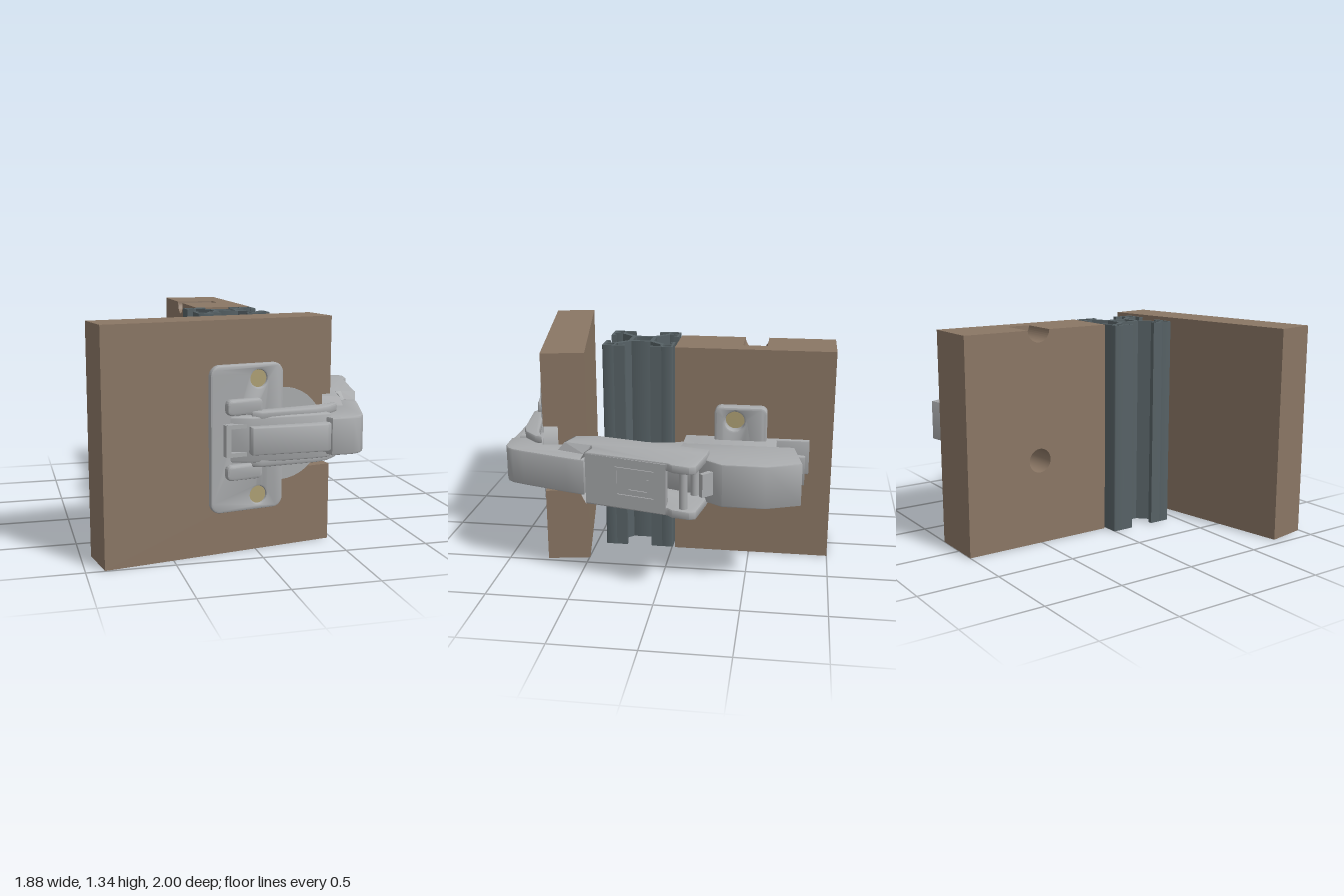
import * as THREE from 'three';
import { toCreasedNormals } from 'three/addons/utils/BufferGeometryUtils.js';

const H = 1.335, MID = 0.67;

export function createModel() {
  const root = new THREE.Group();
  root.name = 'hingeAssembly';
  const mat = (name, color, side = THREE.FrontSide) => {
    const m = new THREE.MeshStandardMaterial({ color, side });
    m.name = name;
    return m;
  };
  const wood = mat('wood', 0x8a7664);
  const metal = mat('metal', 0xa9abad, THREE.DoubleSide);
  const steel = mat('darkSteel', 0x566165);
  const brass = mat('tan', 0xad9f74);

  const add = (parent, name, geo, m) => {
    const mesh = new THREE.Mesh(geo, m);
    mesh.name = name;
    parent.add(mesh);
    return mesh;
  };
  const polygon = (pts) => new THREE.Shape(pts.map(([x, y]) => new THREE.Vector2(x, y)));
  const extrude = (shape, depth, b = 0) => {
    const g = new THREE.ExtrudeGeometry(shape, {
      depth: depth - 2 * b, bevelEnabled: b > 0, bevelSize: b, bevelThickness: b,
      bevelOffset: -b, bevelSegments: 2, curveSegments: 20,
    });
    return toCreasedNormals(g.translate(0, 0, b), 0.6);
  };
  // Upright prism from a plan outline of [x, z] points
  const prism = (name, m, pts, y0, y1, b = 0, parent = root) => {
    const g = extrude(polygon(pts.map(([x, z]) => [x, -z])), y1 - y0, b);
    return add(parent, name, g.rotateX(-Math.PI / 2).translate(0, y0, 0), m);
  };
  const box = (parent, name, m, x0, x1, y0, y1, z0, z1) => add(parent, name,
    new THREE.BoxGeometry(x1 - x0, y1 - y0, z1 - z0)
      .translate((x0 + x1) / 2, (y0 + y1) / 2, (z0 + z1) / 2), m);
  const roundRect = (x0, x1, y0, y1, r) => {
    const s = new THREE.Shape();
    s.absarc(x1 - r, y1 - r, r, 0, Math.PI / 2);
    s.absarc(x0 + r, y1 - r, r, Math.PI / 2, Math.PI);
    s.absarc(x0 + r, y0 + r, r, Math.PI, Math.PI * 1.5);
    s.absarc(x1 - r, y0 + r, r, Math.PI * 1.5, Math.PI * 2);
    return s;
  };
  const hole = (s, x, y, r) => s.holes.push(new THREE.Path().absarc(x, y, r, 0, Math.PI * 2, true));
  const disc = (parent, name, m, x, y, z0, z1, r) => add(parent, name,
    new THREE.CylinderGeometry(r, r, z1 - z0, 40).rotateX(Math.PI / 2).translate(x, y, (z0 + z1) / 2), m);

  // Side panel: drilled layer and solid layer, local x = -z, local z = x
  const side = new THREE.Group();
  side.name = 'sidePanel';
  side.rotation.y = Math.PI / 2;
  root.add(side);
  const drilled = new THREE.Shape();
  drilled.moveTo(0.02, 0).lineTo(1, 0).lineTo(1, H).lineTo(0.58, H);
  drilled.absarc(0.505, H, 0.075, 0, -Math.PI, true);
  drilled.lineTo(0.02, H);
  hole(drilled, 0.505, 0.53, 0.075);
  add(side, 'drilledLayer', extrude(drilled, 0.24).translate(0, 0, -0.15), wood);
  box(side, 'solidLayer', wood, 0.02, 1, 0, H, 0.09, 0.205);

  // Mounting plate with two screw holes and an adjusting screw
  const plate = roundRect(0.275, 0.597, 0.345, 0.99, 0.04);
  [0.43, 0.9].forEach((y) => {
    hole(plate, 0.4, y, 0.06);
    disc(side, 'plateScrew', brass, 0.4, y, 0.2, 0.225, 0.06);
  });
  add(side, 'mountingPlate', extrude(plate, 0.08, 0.015).translate(0, 0, 0.205), metal);
  disc(side, 'adjustingScrew', metal, 0.52, 0.45, 0.28, 0.305, 0.06);
  box(side, 'screwSlot', steel, 0.48, 0.56, 0.444, 0.456, 0.3, 0.307);
  box(side, 'screwSlot', steel, 0.514, 0.526, 0.41, 0.49, 0.3, 0.307);

  // Base rail, pedestal and release lever
  prism('baseRail', metal, [[0.205, -0.86], [0.24, -0.86], [0.24, -0.66], [0.43, -0.66],
    [0.43, -0.17], [0.375, -0.17], [0.365, -0.09], [0.205, -0.09]], 0.56, 0.78, 0.01);
  prism('releaseLever', metal, [[0.385, -0.68], [0.385, -0.73], [0.43, -0.76], [0.45, -0.835],
    [0.485, -0.835], [0.48, -0.76], [0.45, -0.66]], 0.58, 0.76, 0.008);

  // Rear arm body with two cheek plates reaching forward
  prism('rearBody', metal, [[0.43, -0.1], [0.43, -0.77], [0.71, -0.82], [0.79, -0.62],
    [0.79, -0.37], [0.73, -0.28], [0.62, -0.2], [0.58, -0.08]], 0.54, 0.8, 0.008);
  prism('rearLink', metal, [[0.375, -0.16], [0.43, -0.18], [0.66, -0.27], [0.63, -0.15],
    [0.51, 0.18], [0.41, 0.12], [0.4, -0.02], [0.37, -0.09]], 0.55, 0.79, 0.01);
  prism('springRod', metal, [[0.72, -0.3], [0.75, -0.32], [0.81, -0.26], [0.79, -0.24]], 0.6, 0.74);

  // Middle arm: two cheeks and an outer web
  const cheek = [[0.62, -0.28], [0.7, -0.275], [0.92, -0.235], [0.935, -0.2], [0.915, -0.1],
    [0.885, -0.07], [0.765, 0.43], [0.68, 0.405], [0.64, 0.42], [0.6, 0.59], [0.475, 0.55], [0.455, 0.4]];
  prism('middleArmCheek', metal, cheek, 0.51, 0.56, 0.008);
  prism('middleArmCheek', metal, cheek, 0.78, 0.83, 0.008);
  prism('middleArmWeb', metal, [[0.89, -0.06], [0.765, 0.43], [0.68, 0.405], [0.64, 0.42],
    [0.6, 0.59], [0.475, 0.55], [0.455, 0.4], [0.56, -0.02], [0.8, -0.06]], 0.52, 0.82);
  // Raised tongue on the outer face of the web
  [[0.592, 0.604, 0.01, 0.24], [0.756, 0.768, 0.01, 0.24], [0.592, 0.768, 0.232, 0.244],
    [0.63, 0.715, 0.04, 0.05], [0.63, 0.64, 0.04, 0.16]].forEach(([y0, y1, z0, z1]) => {
    const x = (z) => 0.89 - 0.255 * (z + 0.06);
    prism('webRidge', metal, [[x(z0), z0], [x(z0) + 0.008, z0], [x(z1) + 0.008, z1], [x(z1), z1]], y0, y1);
  });
  // Hinge pins
  [[0.66, -0.2], [0.88, -0.16]].forEach(([x, z]) => add(root, 'pin',
    new THREE.CylinderGeometry(0.025, 0.025, 0.3, 20).translate(x, MID, z), metal));

  // Sloping shoulders from the middle arm down to the narrower front link
  const inner = [[0.475, 0.55], [0.6, 0.59], [0.64, 0.42], [0.68, 0.405], [0.765, 0.43]];
  const outer = [[0.485, 0.59], [0.605, 0.63], [0.665, 0.455], [0.69, 0.44], [0.755, 0.46]];
  [1, -1].forEach((s) => {
    const v = [];
    for (let i = 0; i < 4; i++) {
      const a = [inner[i][0], MID + s * 0.16, inner[i][1]];
      const b = [inner[i + 1][0], MID + s * 0.16, inner[i + 1][1]];
      const c = [outer[i + 1][0], MID + s * 0.11, outer[i + 1][1]];
      const d = [outer[i][0], MID + s * 0.11, outer[i][1]];
      const quad = [a, d, c, a, c, b];
      if (s < 0) quad.reverse();
      quad.forEach((p) => v.push(...p));
    }
    const g = new THREE.BufferGeometry();
    g.setAttribute('position', new THREE.Float32BufferAttribute(v, 3));
    g.computeVertexNormals();
    add(root, 'shoulder', g, metal);
  });

  // Front link curving round to the door
  prism('frontLink', metal, [[0.28, 0.8], [0.51, 0.75], [0.48, 0.57], [0.6, 0.6], [0.65, 0.43],
    [0.765, 0.44], [0.735, 0.55], [0.645, 0.84], [0.62, 0.91], [0.59, 0.95], [0.54, 0.97],
    [0.41, 0.975], [0.38, 0.9], [0.28, 0.88]], 0.56, 0.78, 0.012);
  [0.51, 0.78].forEach((y) => prism('frontLinkCheek', metal, [[0.08, 0.86], [0.4, 0.8], [0.51, 0.755],
    [0.5, 0.8], [0.42, 0.88], [0.34, 0.91], [0, 0.95], [-0.05, 0.93], [-0.04, 0.88]], y, y + 0.05, 0.012));
  prism('cupCover', metal, [[-0.07, 0.9], [0.3, 0.83], [0.42, 0.86], [0.42, 0.95], [0.38, 0.99],
    [-0.06, 0.99], [-0.07, 0.98]], 0.59, 0.75, 0.01);
  prism('cupBridge', metal, [[-0.2, 0.9], [0.4, 0.8], [0.42, 0.92], [0.3, 0.94], [-0.05, 0.95]], 0.54, 0.8, 0.012);

  // Door, built in its own frame with z = 0 on the front face
  const door = new THREE.Group();
  door.name = 'door';
  door.position.set(-0.21, 0, 0.875);
  door.rotation.y = 0.174;
  root.add(door);
  box(door, 'doorBack', wood, -0.695, 0.695, 0, H, -0.264, -0.09);
  const face = polygon([[-0.695, 0], [0.695, 0], [0.695, 0.46], [0.56, 0.46],
    [0.56, 0.88], [0.695, 0.88], [0.695, H], [-0.695, H]]);
  add(door, 'doorFront', extrude(face, 0.09).translate(0, 0, -0.09), wood);
  disc(door, 'hingeCup', metal, 0.375, MID, -0.09, 0.006, 0.27);
  const flange = roundRect(-0.085, 0.365, 0.25, 1.09, 0.06);
  [0.335, 1.005].forEach((y) => {
    hole(flange, 0.21, y, 0.05);
    disc(door, 'flangeScrew', brass, 0.21, y, 0, 0.03, 0.05);
  });
  add(door, 'cupFlange', extrude(flange, 0.042, 0.012), metal);
  // Raised clips and frame on the flange
  [1, -1].forEach((s) => {
    const lo = MID + s * 0.185 - 0.045;
    add(door, 'clip', extrude(roundRect(0, 0.22, lo, lo + 0.09, 0.03), 0.05, 0.015).translate(0, 0, 0.03), metal);
    box(door, 'frameRail', metal, 0, 0.16, MID + s * 0.08 - 0.012, MID + s * 0.08 + 0.012, 0.03, 0.085);
  });
  box(door, 'frameEnd', metal, -0.01, 0.02, 0.58, 0.76, 0.03, 0.085);

  // Slotted post: hollow core plus four identical corners
  const post = new THREE.Group();
  post.name = 'slottedPost';
  post.position.set(-0.02, 0, 0.215);
  root.add(post);
  const ring = (name, c, r, t, parent) => {
    const s = roundRect(c - r, c + r, c - r, c + r, 0.008);
    s.holes.push(roundRect(c - r + t, c + r - t, c - r + t, c + r - t, 0.008));
    add(parent, name, extrude(s, H).rotateX(-Math.PI / 2), steel);
  };
  ring('core', 0, 0.08, 0.025, post);
  for (let i = 0; i < 4; i++) {
    const corner = new THREE.Group();
    corner.name = 'postCorner';
    corner.rotation.y = i * Math.PI / 2;
    post.add(corner);
    ring('cornerTube', 0.18, 0.04, 0.014, corner);
    prism('diagonalWeb', steel, [[0.05, -0.07], [0.07, -0.05], [0.155, -0.135], [0.135, -0.155]], 0, H, 0, corner);
    prism('lipA', steel, [[0.08, -0.22], [0.15, -0.22], [0.15, -0.205], [0.095, -0.205],
      [0.095, -0.19], [0.08, -0.19]], 0, H, 0, corner);
    prism('lipB', steel, [[0.22, -0.08], [0.22, -0.15], [0.205, -0.15], [0.205, -0.095],
      [0.19, -0.095], [0.19, -0.08]], 0, H, 0, corner);
  }
  return root;
}
